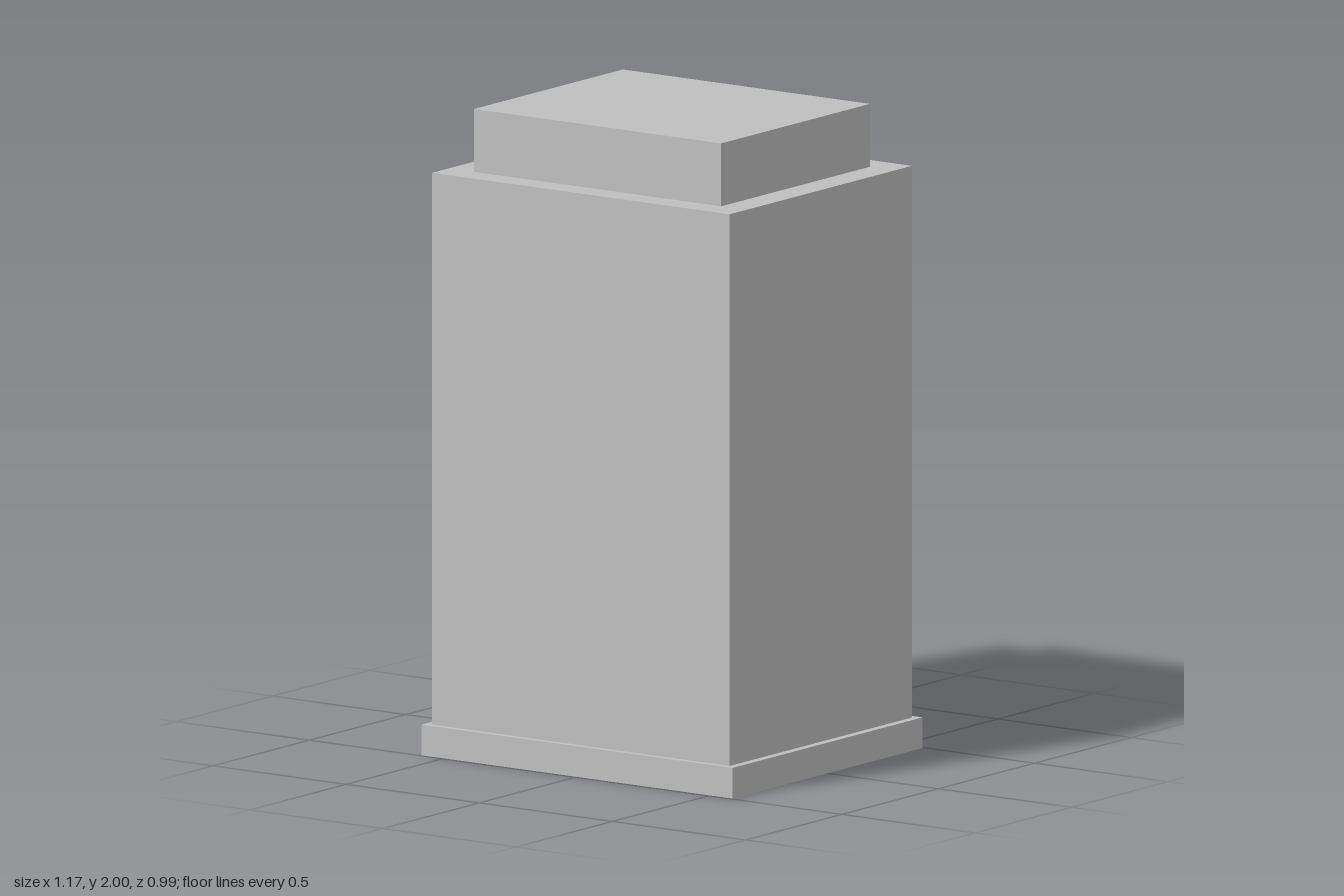
import * as THREE from 'three';

export function createModel() {
  const model = new THREE.Group();
  const grey = new THREE.MeshStandardMaterial({ color: 0xbfbfbf });
  grey.name = 'grey';

  // Stacked blocks: name, width, depth, bottom, top
  const tiers = [
    ['base', 1.167, 0.986, 0, 0.095],
    ['body', 1.118, 0.946, 0.095, 1.805],
    ['cap', 0.928, 0.772, 1.805, 2],
  ];

  for (const [name, width, depth, bottom, top] of tiers) {
    const block = new THREE.Mesh(new THREE.BoxGeometry(width, top - bottom, depth), grey);
    block.name = name;
    block.position.y = (bottom + top) / 2;
    model.add(block);
  }

  return model;
}
